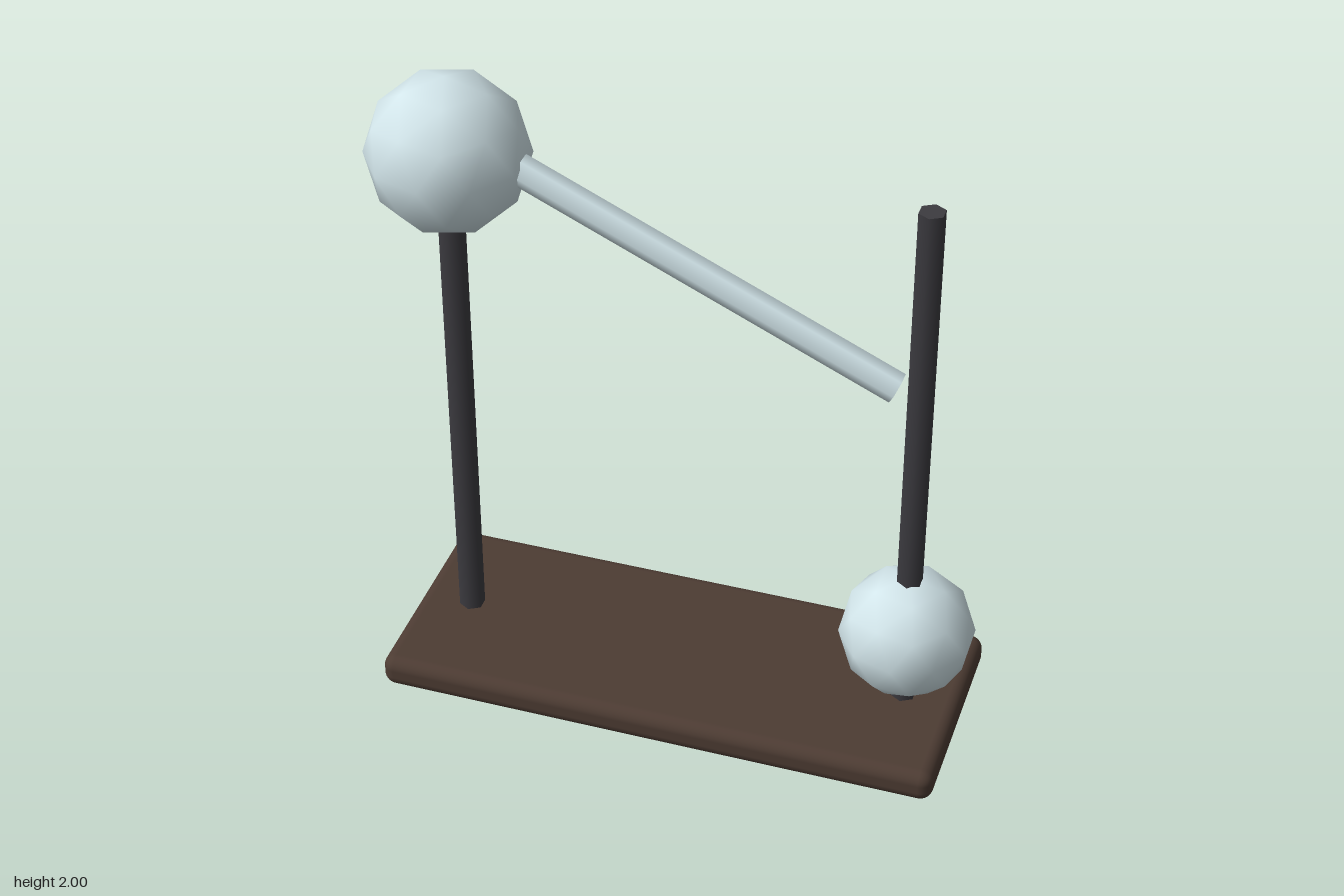
import * as THREE from 'three';
import { RoundedBoxGeometry } from 'three/addons/geometries/RoundedBoxGeometry.js';

const paint = (color) => new THREE.MeshStandardMaterial({ color });

export function createModel() {
  const model = new THREE.Group();
  const wood = paint(0x4d3c33), iron = paint(0x3c3b40), glass = paint(0xd2e5ea);

  const add = (name, geometry, material) => {
    const mesh = new THREE.Mesh(geometry, material);
    mesh.name = name;
    model.add(mesh);
    return mesh;
  };

  // Six-sided bar between two points in the z = 0 plane, with corners on +z and -z
  const bar = (name, x0, y0, x1, y1, radius, material) => {
    const length = Math.hypot(x1 - x0, y1 - y0);
    const mesh = add(name, new THREE.CylinderGeometry(radius, radius, length, 6), material);
    mesh.position.set((x0 + x1) / 2, (y0 + y1) / 2, 0);
    mesh.rotation.z = Math.atan2(y1 - y0, x1 - x0) - Math.PI / 2;
  };

  // Smooth low-poly bulb, turned so that a corner points straight up
  const bulb = (name, x, y, radius) => {
    const geometry = new THREE.IcosahedronGeometry(radius, 1);
    geometry.rotateZ(-Math.atan(2 / (1 + Math.sqrt(5))));
    add(name, geometry, glass).position.set(x, y, 0);
  };

  // Base board with rounded edges
  add('base', new RoundedBoxGeometry(1.75, 0.105, 0.7, 3, 0.04), wood)
    .position.set(0.015, 0.0525, 0);

  // Upright posts
  bar('rightPost', -0.69, 0.08, -0.69, 1.83, 0.04, iron);
  bar('leftPost', 0.715, 0.08, 0.715, 1.83, 0.04, iron);

  // Upper and lower bulbs
  bulb('upperBulb', -0.69, 1.76, 0.242);
  bulb('lowerBulb', 0.715, 0.355, 0.206);

  // Sloping spout leaving the upper bulb
  bar('spout', -0.56, 1.78, 0.645, 1.23, 0.047, glass);

  return model;
}
